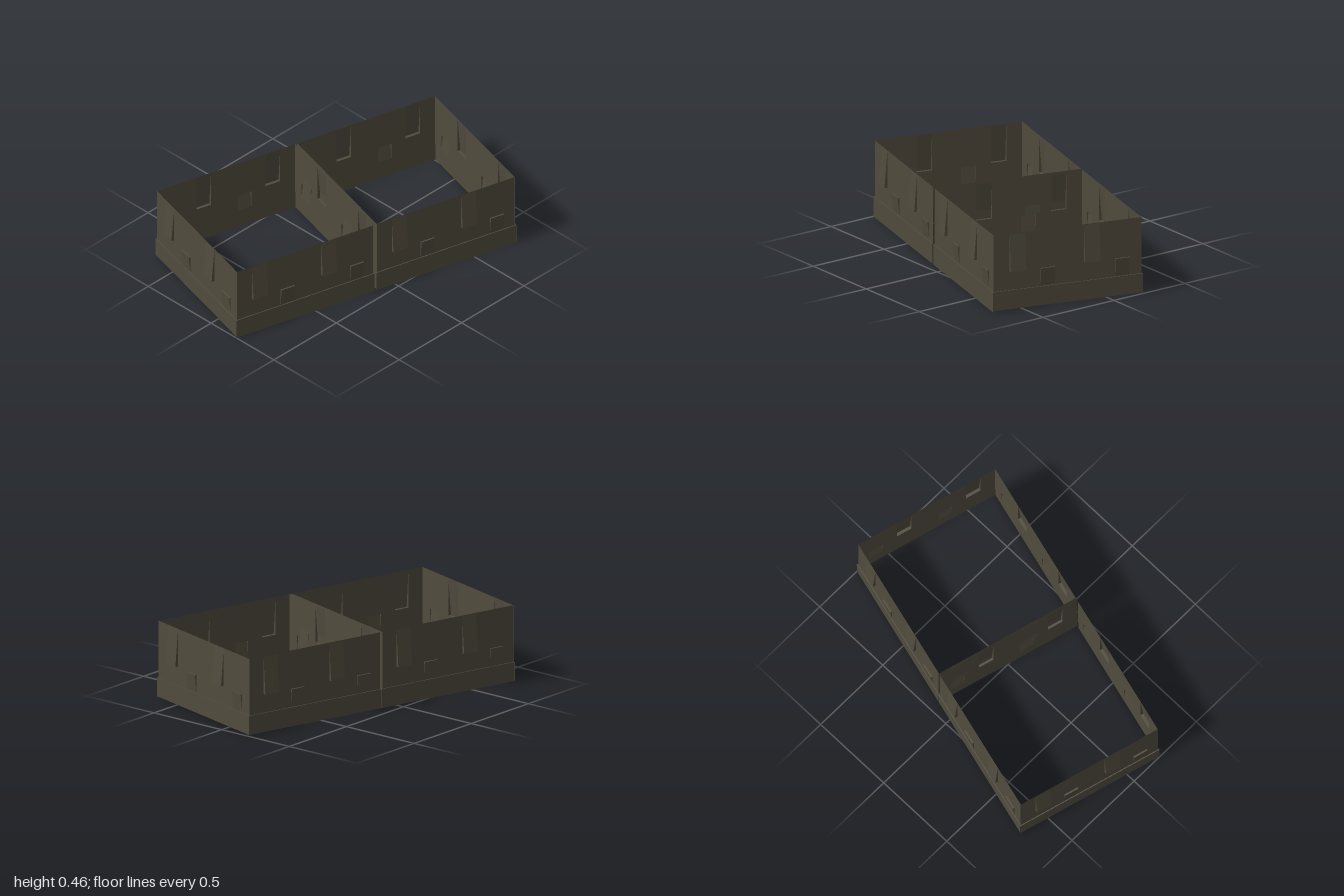
import * as THREE from 'three';

const HALF = 0.45;      // half the side of one square enclosure
const TOP = 0.455;
const LEDGE = 0.12;     // top of the skirting
const SILL = 0.232;     // line where upper and lower flaps meet
const STEP = 0.006;     // how far the skirting stands out

// Panel bent outward: flush at y = hinge, open at y = open
function flapGeometry(w, hinge, open, depth) {
  const p = [
    [-w, hinge, 0], [w, hinge, 0],
    [w, open, depth], [-w, open, depth],
    [w, open, 0], [-w, open, 0],
  ];
  const faces = [[0, 3, 2], [0, 2, 1], [3, 5, 4], [3, 4, 2], [0, 5, 3], [1, 2, 4]];
  const g = new THREE.BufferGeometry();
  g.setAttribute('position', new THREE.Float32BufferAttribute(faces.flat().flatMap((i) => p[i]), 3));
  g.computeVertexNormals();
  return g;
}

function rectPath(path, x0, y0, x1, y1) {
  path.moveTo(x0, y0);
  path.lineTo(x1, y0);
  path.lineTo(x1, y1);
  path.lineTo(x0, y1);
  path.closePath();
  return path;
}

export function createModel() {
  const model = new THREE.Group();
  model.name = 'wallEnclosure';
  const stone = new THREE.MeshStandardMaterial({ color: 0x504b3d, side: THREE.DoubleSide });
  stone.name = 'darkOlive';

  const tall = { w: 0.047, hinge: 0.45, open: SILL, depth: 0.018, xs: [-0.305, 0.147], name: 'tallFlap' };
  const low = { w: 0.044, hinge: 0.125, open: SILL - 0.004, depth: 0.01, xs: [-0.12, 0.333], name: 'lowFlap' };
  for (const f of [tall, low]) f.geometry = flapGeometry(f.w, f.hinge, f.open, f.depth);

  const add = (parent, geometry, name) => {
    const m = new THREE.Mesh(geometry, stone);
    m.name = name;
    parent.add(m);
    return m;
  };

  // One wall facing +z, running from x0 to x1, with its skirting and flaps
  function makeWall(x0, x1, bottom) {
    const wall = new THREE.Group();
    const shape = rectPath(new THREE.Shape(), x0, LEDGE, x1, TOP);
    for (const f of [tall, low]) {
      for (const x of f.xs) {
        const y0 = Math.min(f.hinge, f.open), y1 = Math.max(f.hinge, f.open);
        shape.holes.push(rectPath(new THREE.Path(), x - f.w, y0, x + f.w, y1));
        add(wall, f.geometry, f.name).position.x = x;
      }
    }
    add(wall, new THREE.ShapeGeometry(shape), 'wallPanel');

    // Skirting face and the small ledge above it
    const len = x1 - x0 + STEP * 2, mid = (x0 + x1) / 2;
    const skirt = add(wall, new THREE.PlaneGeometry(len, LEDGE - bottom), 'skirting');
    skirt.position.set(mid, (LEDGE + bottom) / 2, STEP);
    const ledge = add(wall, new THREE.PlaneGeometry(len, STEP).rotateX(-Math.PI / 2), 'ledge');
    ledge.position.set(mid, LEDGE, STEP / 2);
    return wall;
  }

  // Two square enclosures side by side, each with four walls
  const names = ['frontWall', 'leftWall', 'backWall', 'rightWall'];
  for (const side of [-1, 1]) {
    const square = new THREE.Group();
    square.name = side < 0 ? 'rightEnclosure' : 'leftEnclosure';
    square.position.x = side * 0.457;
    names.forEach((name, i) => {
      // The front wall of one square stops short, leaving a narrow gap
      const x1 = i === 0 && side < 0 ? HALF - 0.011 : HALF;
      const wall = makeWall(-HALF, x1, i === 0 ? 0 : 0.008);
      wall.name = name;
      const turn = i * Math.PI / 2;
      const off = i % 2 ? HALF : HALF - 0.002;
      wall.rotation.y = turn;
      wall.position.set(Math.sin(turn) * off, 0, Math.cos(turn) * off);
      square.add(wall);
    });
    model.add(square);
  }

  model.rotation.y = -Math.PI / 12;
  const root = new THREE.Group();
  root.name = 'model';
  root.add(model);
  return root;
}
